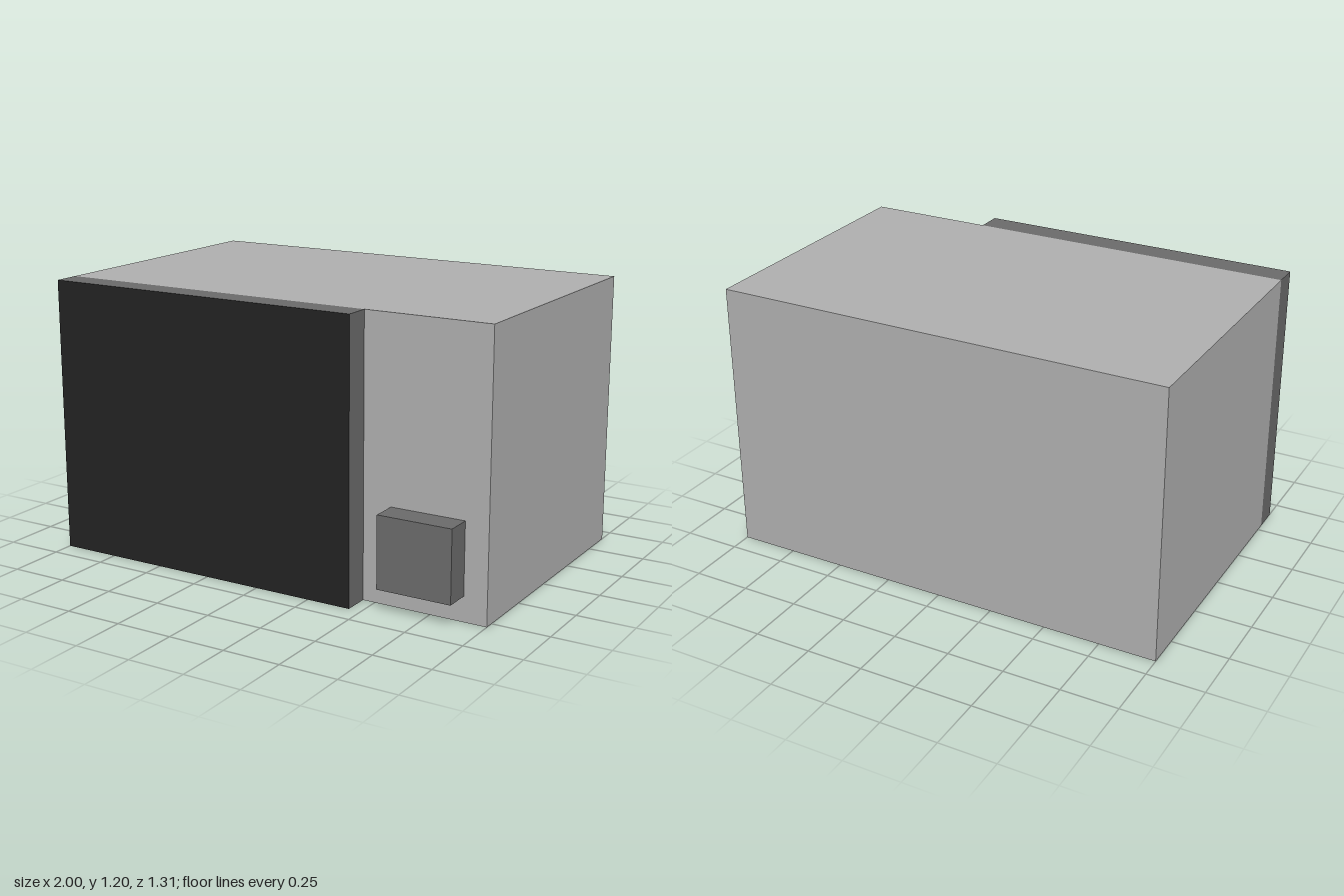
import * as THREE from 'three';

export function createModel() {
  const material = (name, color) => {
    const m = new THREE.MeshStandardMaterial({ color });
    m.name = name;
    return m;
  };
  const casing = material('light grey casing', 0xaeaeae);
  const trim = material('dark grey trim', 0x6a6a6a);
  const glass = material('black door glass', 0x222222);

  const group = new THREE.Group();
  group.name = 'microwaveOven';

  // Box spanning [min, max] on each axis
  const addBox = (name, [x0, x1], [y0, y1], [z0, z1], materials) => {
    const mesh = new THREE.Mesh(new THREE.BoxGeometry(x1 - x0, y1 - y0, z1 - z0), materials);
    mesh.position.set((x0 + x1) / 2, (y0 + y1) / 2, (z0 + z1) / 2);
    mesh.name = name;
    group.add(mesh);
  };

  const front = 0.655, panel = 0.542;

  // Main housing
  addBox('housing', [-1, 1], [0, 1.2], [-front, panel], casing);

  // Door: dark rim, casing-coloured underside, black front (+x, -x, +y, -y, +z, -z)
  addBox('door', [-1, 0.445], [0, 1.2], [panel, front], [trim, trim, trim, casing, glass, trim]);

  // Push button that opens the door
  addBox('doorButton', [0.57, 0.898], [0.108, 0.418], [panel, front], trim);

  return group;
}
